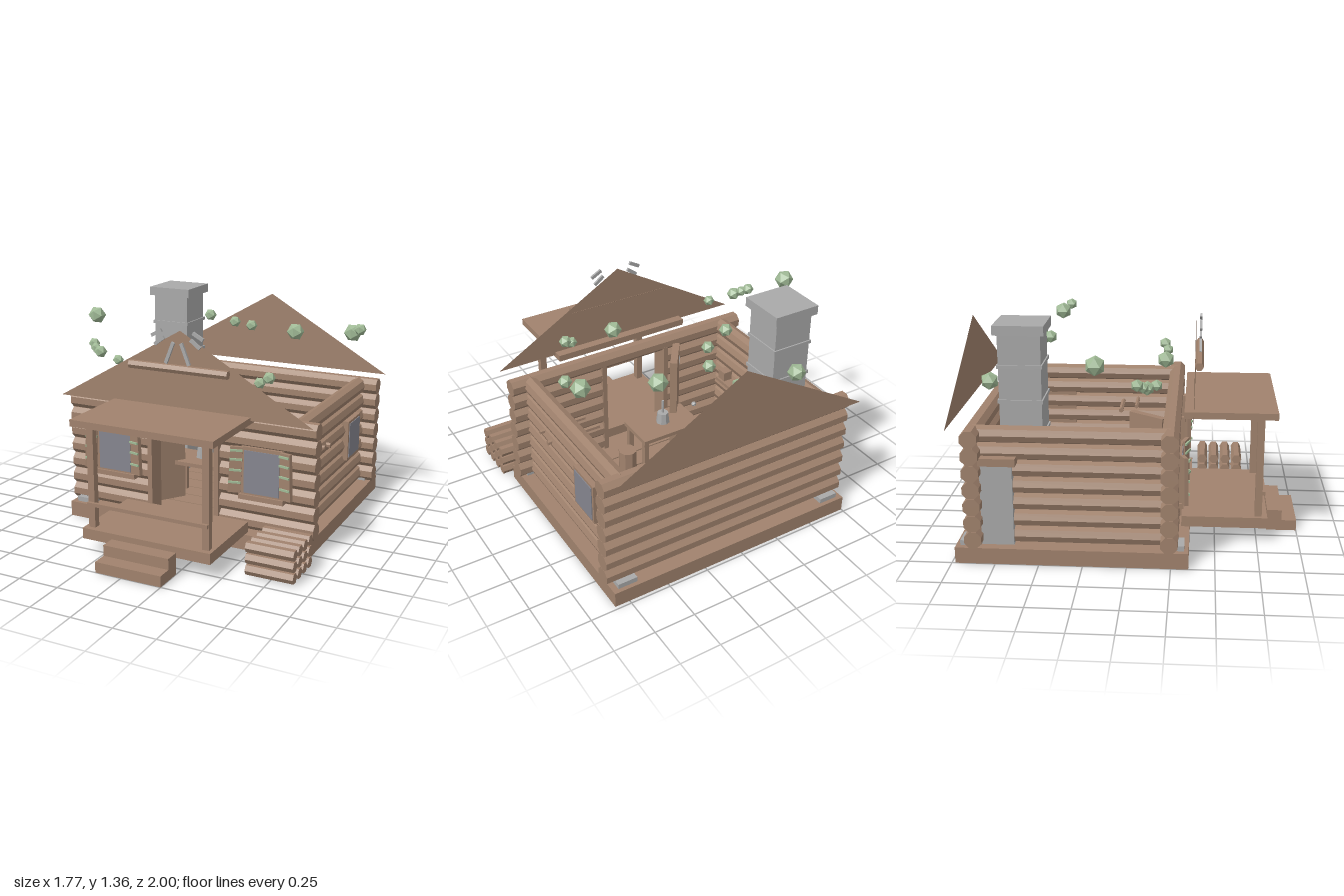
import * as THREE from 'three';

const flat = (name, color, double) => {
  const m = new THREE.MeshStandardMaterial({ color, flatShading: true });
  m.name = name;
  if (double) m.side = THREE.DoubleSide;
  return m;
};

export function createModel() {
  const wood = flat('wood', 0xa0826d, true);
  const stone = flat('stone', 0xa9a9a9);
  const green = flat('sage green', 0xa0ba96);
  const glass = flat('glass', 0x85858e);
  const model = new THREE.Group();
  model.name = 'logCabin';
  const CX = 0.045, CZ = -0.315;

  const add = (name, geo, mat, x, y, z, parent = model) => {
    const m = new THREE.Mesh(geo, mat);
    m.name = name;
    m.position.set(x, y, z);
    parent.add(m);
    return m;
  };
  // box given by its limits on each axis
  const box = (name, mat, x0, x1, y0, y1, z0, z1, parent = model) =>
    add(name, new THREE.BoxGeometry(x1 - x0, y1 - y0, z1 - z0), mat,
      (x0 + x1) / 2, (y0 + y1) / 2, (z0 + z1) / 2, parent);
  // log lying along x or z between a and b
  const logX = (name, a, b, y, z, r = 0.053, n = 8, turn = Math.PI / 8) =>
    add(name, new THREE.CylinderGeometry(r, r, b - a, n).rotateY(turn).rotateZ(Math.PI / 2), wood, (a + b) / 2, y, z);
  const logZ = (name, a, b, x, y, r = 0.051) =>
    add(name, new THREE.CylinderGeometry(r, r, b - a, 8).rotateX(Math.PI / 2), wood, x, y, (a + b) / 2);

  // foundation, corner stones and floor boards
  box('foundation', wood, CX - 0.795, CX + 0.795, 0, 0.095, CZ - 0.665, CZ + 0.665);
  for (const sx of [-1, 1]) for (const sz of [-1, 1]) {
    const x = CX + sx * 0.7, z = CZ + sz * 0.58;
    box('cornerStone', stone, x - 0.06, x + 0.06, 0.002, 0.125, z - 0.06, z + 0.06);
  }
  for (let i = 0; i < 8; i++) {
    const z = -0.84 + i * 0.13;
    box('floorBoard', wood, -0.62, 0.71, 0.09, 0.105, z, z + 0.122);
  }

  // log walls, with the doorway left open in the front wall
  for (let i = 0; i < 7; i++) {
    const y = 0.147 + i * 0.1;
    logX('backWallLog', CX - 0.81, CX + 0.81, y, CZ - 0.555);
    if (i < 6) {
      logX('frontWallLog', CX - 0.81, -0.19, y, CZ + 0.555);
      logX('frontWallLog', 0.235, CX + 0.81, y, CZ + 0.555);
    } else logX('frontWallLog', CX - 0.81, CX + 0.81, y, CZ + 0.555);
    for (const s of [-1, 1]) logZ('sideWallLog', CZ - 0.555, CZ + 0.555, CX + s * 0.685, y);
  }

  // flat gables
  const gable = new THREE.Shape([[-0.82, 0], [0.82, 0], [0, 0.475]].map(p => new THREE.Vector2(...p)));
  for (const s of [-1, 1]) add('gable', new THREE.ShapeGeometry(gable), wood, CX, 0.8, CZ + s * 0.68);

  // gable ornament: beam and antlers
  logX('gableBeam', -0.275, 0.36, 1.055, 0.39, 0.026, 6, 0);
  const bar = (x0, y0, x1, y1) => {
    const m = add('antlerBar', new THREE.BoxGeometry(Math.hypot(x1 - x0, y1 - y0), 0.02, 0.014), stone,
      (x0 + x1) / 2, (y0 + y1) / 2, 0.395);
    m.rotation.z = Math.atan2(y1 - y0, x1 - x0);
  };
  for (const s of [-1, 1]) {
    const X = d => 0.042 + s * d;
    bar(X(0.025), 1.21, X(0.075), 1.085);
    bar(X(0.085), 1.235, X(0.145), 1.19);
    bar(X(0.1), 1.275, X(0.165), 1.24);
  }

  // porch: deck, roof, posts, rail and steps
  box('porchDeck', wood, -0.365, 0.455, 0.095, 0.16, 0.3, 0.81);
  box('porchRoof', wood, -0.402, 0.49, 0.78, 0.82, 0.31, 0.85);
  for (const x of [-0.32, 0.41]) box('porchPost', wood, x - 0.021, x + 0.021, 0.16, 0.77, 0.735, 0.777);
  box('porchRail', wood, -0.34, 0.43, 0.295, 0.317, 0.775, 0.795);
  box('lowerStep', wood, -0.165, 0.25, 0, 0.065, 0.82, 1);
  box('upperStep', wood, -0.165, 0.25, 0.065, 0.13, 0.82, 0.91);

  // door frame and open door
  for (const x of [-0.2, 0.245]) box('doorJamb', wood, x - 0.015, x + 0.015, 0.1, 0.73, 0.19, 0.305);
  const door = new THREE.Group();
  door.name = 'door';
  door.position.set(-0.205, 0.43, 0.09);
  door.rotation.y = 0.95;
  model.add(door);
  box('doorPanel', wood, -0.125, 0.125, -0.31, 0.31, -0.022, 0.022, door);
  for (const y of [-0.2, 0.2]) box('doorStrap', stone, -0.13, -0.06, y - 0.012, y + 0.012, -0.025, 0.025, door);
  add('doorKnob', new THREE.IcosahedronGeometry(0.018, 0), stone, -0.34, 0.32, 0.065);

  // front windows with slatted shutters
  for (const x of [-0.445, 0.535]) {
    box('windowFrame', wood, x - 0.13, x + 0.13, 0.32, 0.62, 0.26, 0.302);
    box('windowGlass', glass, x - 0.11, x + 0.11, 0.34, 0.6, 0.3, 0.306);
    box('windowSill', wood, x - 0.14, x + 0.14, 0.3, 0.33, 0.27, 0.315);
    for (const s of [-1, 1]) {
      const shutter = new THREE.Group();
      shutter.name = 'shutter';
      shutter.position.set(x + s * 0.158, 0.48, 0.318);
      shutter.rotation.set(0, s * -0.35, s * 0.05);
      model.add(shutter);
      box('shutterPanel', wood, -0.037, 0.037, -0.14, 0.14, -0.012, 0.012, shutter);
      for (const y of [-0.075, 0, 0.065, 0.12])
        box('shutterSlat', green, -0.036, 0.036, y - 0.006, y + 0.006, 0.012, 0.022, shutter);
    }
  }

  // side window and wall pegs
  box('sideWindowFrame', wood, 0.7, 0.8, 0.355, 0.61, -0.685, -0.455);
  box('sideWindowGlass', glass, 0.799, 0.805, 0.372, 0.594, -0.668, -0.472);
  logX('wallPeg', 0.46, 0.8, 0.555, -0.125, 0.016, 6);
  logX('wallPeg', 0.505, 0.8, 0.57, -0.025, 0.014, 6);

  // chimney, fireplace and mantel
  const HX = -0.467, HZ = -0.602;
  box('chimneyShaft', stone, HX - 0.12, HX + 0.12, 0.1, 1.3, HZ - 0.12, HZ + 0.12);
  box('chimneyCap', stone, HX - 0.143, HX + 0.143, 1.3, 1.355, HZ - 0.143, HZ + 0.143);
  for (let y = 0.32; y < 1.2; y += 0.2)
    box('chimneyBand', stone, HX - 0.128, HX + 0.128, y - 0.01, y + 0.01, HZ - 0.128, HZ + 0.128);
  box('fireplace', stone, HX - 0.235, HX + 0.235, 0.1, 0.585, -0.83, -0.645);
  box('mantel', wood, HX - 0.27, HX + 0.27, 0.585, 0.63, -0.83, -0.62);

  // firewood stack
  for (const y of [0.04, 0.108, 0.175]) for (const z of [0.42, 0.498, 0.576, 0.654])
    logX('firewood', 0.605, 0.89, y, z, 0.033, 6, 0);

  // bed
  box('bedFrame', wood, 0.325, 0.645, 0.1, 0.2, -0.83, -0.25);
  box('mattress', green, 0.33, 0.62, 0.2, 0.26, -0.825, -0.255);
  box('pillow', stone, 0.39, 0.58, 0.26, 0.3, -0.825, -0.755);

  // table, stools and lantern
  box('tableTop', wood, -0.23, 0.183, 0.343, 0.367, -0.19, 0.06);
  for (const x of [-0.195, 0.16]) for (const z of [-0.16, 0.03])
    box('tableLeg', wood, x - 0.016, x + 0.016, 0.1, 0.345, z - 0.016, z + 0.016);
  for (const x of [-0.245, 0.235])
    add('stool', new THREE.CylinderGeometry(0.058, 0.058, 0.15, 8), wood, x, 0.175, -0.065);
  add('lantern', new THREE.CylinderGeometry(0.035, 0.043, 0.07, 8), stone, -0.022, 0.41, -0.065);
  add('lanternRod', new THREE.CylinderGeometry(0.008, 0.008, 0.09, 6), stone, -0.022, 0.488, -0.065);

  // wall shelf with small things
  box('shelf', wood, -0.62, -0.515, 0.45, 0.47, -0.385, 0.07);
  for (const [z, mat] of [[-0.29, wood], [-0.13, green], [0.03, wood]])
    box('shelfItem', mat, -0.587, -0.527, 0.47, 0.53, z - 0.032, z + 0.032);

  // clumps of foliage: x, y, z, radius
  for (const [x, y, z, r] of [
    [-0.45, 1.0, -0.8, 0.054], [0.36, 1.11, -0.635, 0.057], [0.775, 1.16, -0.54, 0.057],
    [0.837, 1.195, -0.49, 0.038], [0.045, 1.12, -0.65, 0.038], [-0.022, 1.16, -0.535, 0.037],
    [-0.175, 1.2, -0.485, 0.039], [-0.835, 1.2, -0.155, 0.057], [-0.725, 1.065, 0.06, 0.036],
    [-0.695, 1.045, 0.09, 0.033], [-0.65, 1.03, 0.11, 0.041], [-0.495, 1.003, 0.155, 0.034],
    [0.185, 0.98, 0.18, 0.054], [0.465, 0.975, 0.185, 0.035], [0.515, 1.005, 0.165, 0.038],
  ]) add('foliage', new THREE.IcosahedronGeometry(r, 0), green, x, y, z);

  return model;
}
